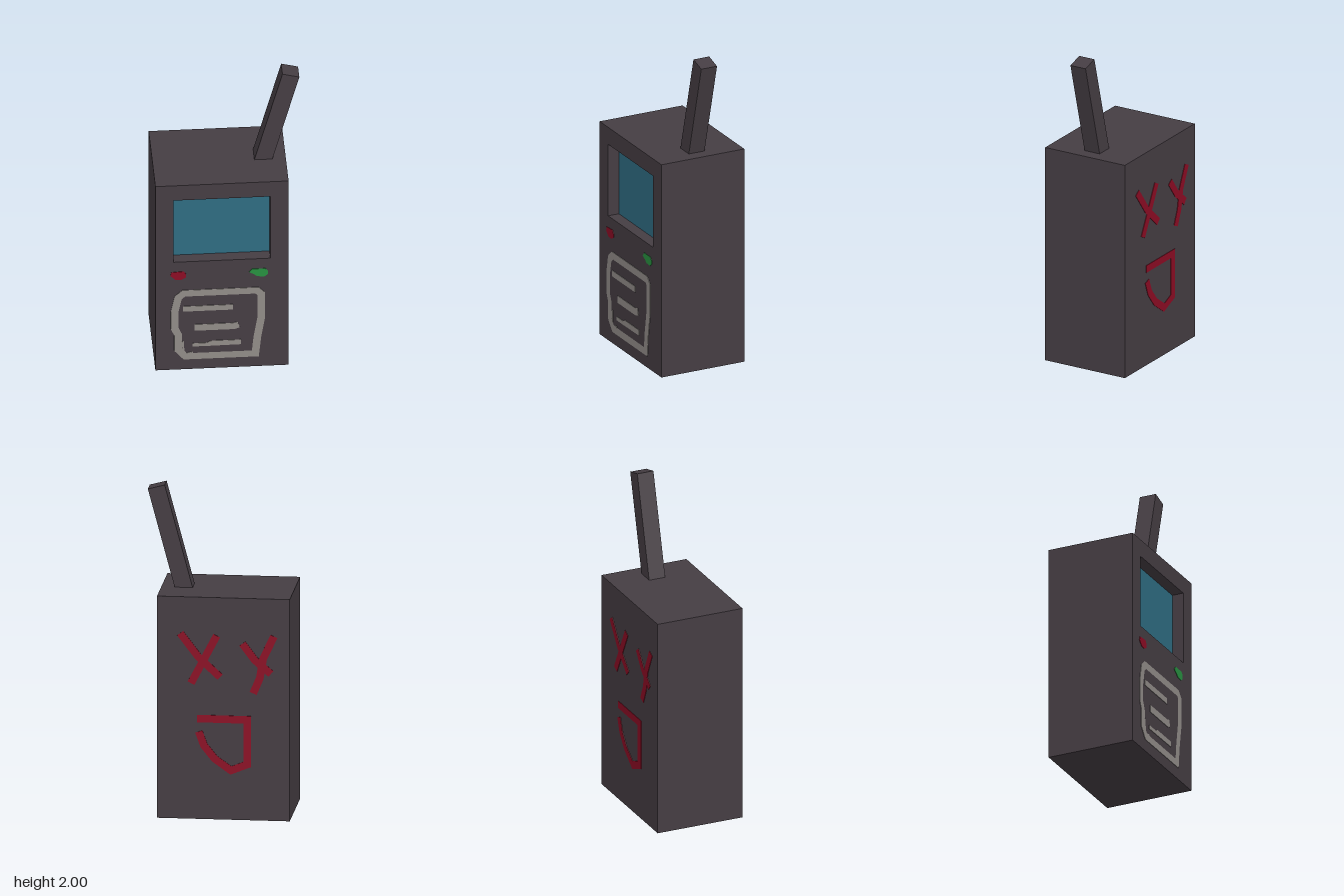
import * as THREE from 'three';

const material = (name, color) => {
  const m = new THREE.MeshStandardMaterial({ color });
  m.name = name;
  return m;
};

const PAINT = 0.003; // thickness of painted details
const FRONT = 0.28, BACK = -0.28, RECESS = 0.205;

const V = ([x, y]) => new THREE.Vector2(x, y);

// Mitred brush stroke of constant width along a polyline
function strokeShape(points, width, closed = false) {
  const p = points.map(V), n = p.length;
  const left = [], right = [];
  const normal = (a, b) => new THREE.Vector2(a.y - b.y, b.x - a.x).normalize();
  for (let i = 0; i < n; i++) {
    const prev = closed || i > 0 ? p[(i + n - 1) % n] : null;
    const next = closed || i < n - 1 ? p[(i + 1) % n] : null;
    const n1 = prev ? normal(prev, p[i]) : normal(p[i], next);
    const n2 = next ? normal(p[i], next) : n1;
    const miter = n1.clone().add(n2).normalize();
    miter.multiplyScalar(width / 2 / Math.max(0.5, miter.dot(n2)));
    left.push(p[i].clone().add(miter));
    right.push(p[i].clone().sub(miter));
  }
  if (!closed) return new THREE.Shape([...left, ...right.reverse()]);
  const outerIsLeft = Math.abs(THREE.ShapeUtils.area(left)) > Math.abs(THREE.ShapeUtils.area(right));
  const shape = new THREE.Shape(outerIsLeft ? left : right);
  shape.holes.push(new THREE.Path(outerIsLeft ? right : left));
  return shape;
}

const rectangle = (x0, y0, x1, y1) => [[x0, y0], [x1, y0], [x1, y1], [x0, y1]].map(V);

export function createModel() {
  const model = new THREE.Group();
  model.name = 'handheldRadio';
  const casing = material('dark casing', 0x453d43);
  const glass = material('screen blue', 0x2f6c82);
  const grey = material('speaker grey', 0x918c88);
  const red = material('paint red', 0x8c0c24);
  const green = material('button green', 0x279040);

  const add = (name, geometry, mat, x = 0, y = 0, z = 0) => {
    const mesh = new THREE.Mesh(geometry, mat);
    mesh.name = name;
    mesh.position.set(x, y, z);
    model.add(mesh);
    return mesh;
  };
  const plate = (name, shape, mat, z, depth = PAINT) =>
    add(name, new THREE.ExtrudeGeometry(shape, { depth, bevelEnabled: false }), mat, 0, 0, z);
  const frontMark = (name, shape, mat) => plate(name, shape, mat, FRONT);
  const backMark = (name, points) =>
    plate(name, strokeShape(points, 0.046), red, BACK - PAINT);

  // Casing: solid rear block plus a front slab with the screen opening
  add('body', new THREE.BoxGeometry(0.8, 1.37, RECESS - BACK), casing, -0.04, 0.685, (RECESS + BACK) / 2);
  const face = new THREE.Shape(rectangle(-0.44, 0, 0.36, 1.37));
  face.holes.push(new THREE.Path(rectangle(-0.33, 0.8, 0.25, 1.26)));
  plate('frontFrame', face, casing, RECESS, FRONT - RECESS);

  // Sunken screen
  add('screen', new THREE.PlaneGeometry(0.58, 0.46), glass, -0.04, 1.03, RECESS + 0.002);

  // Tilted square antenna, its foot sunk in the casing
  const tilt = THREE.MathUtils.degToRad(15), length = 0.68;
  const antenna = add('antenna', new THREE.BoxGeometry(0.105, length, 0.106), casing,
    0.39 - Math.sin(tilt) * length / 2, 1.986 - Math.cos(tilt) * length / 2, 0);
  antenna.rotation.z = -tilt;

  // Painted buttons
  frontMark('redButton', new THREE.Shape([[-0.35, 0.70], [-0.345, 0.725], [-0.27, 0.73], [-0.257, 0.71],
    [-0.257, 0.685], [-0.285, 0.668], [-0.32, 0.67]].map(V)), red);
  frontMark('greenButton', new THREE.Shape([[0.123, 0.705], [0.14, 0.727], [0.22, 0.727], [0.235, 0.71],
    [0.235, 0.685], [0.215, 0.668], [0.17, 0.672], [0.155, 0.685]].map(V)), green);

  // Speaker outline and slots
  frontMark('speakerOutline', strokeShape([[-0.27, 0.566], [0.17, 0.566], [0.195, 0.54], [0.195, 0.36],
    [0.172, 0.22], [0.16, 0.097], [-0.26, 0.097], [-0.304, 0.15], [-0.304, 0.26], [-0.325, 0.31],
    [-0.325, 0.43], [-0.304, 0.535]], 0.046, true), grey);
  frontMark('speakerCorner', new THREE.Shape([[-0.285, 0.2], [-0.27, 0.215], [-0.265, 0.12],
    [-0.215, 0.13], [-0.215, 0.115], [-0.27, 0.115]].map(V)), grey);
  frontMark('speakerSlotTop', strokeShape([[-0.275, 0.45], [0.025, 0.45]], 0.038), grey);
  frontMark('speakerSlotMiddle', strokeShape([[-0.205, 0.308], [0.03, 0.308], [0.06, 0.318]], 0.046), grey);
  frontMark('speakerSlotBottom', new THREE.Shape([[-0.217, 0.168], [-0.12, 0.168], [0.075, 0.17],
    [0.075, 0.205], [-0.11, 0.205], [-0.13, 0.192], [-0.217, 0.192]].map(V)), grey);

  // Face daubed on the back: crossed eyes and an open mouth
  backMark('eyeStrokeA', [[0.22, 1.145], [0.11, 1.0], [-0.02, 0.88]]);
  backMark('eyeStrokeB', [[0, 1.135], [0.06, 1.02], [0.155, 0.838]]);
  backMark('eyeStrokeC', [[-0.155, 1.09], [-0.23, 0.99], [-0.327, 0.908]]);
  backMark('eyeStrokeD', [[-0.345, 1.14], [-0.28, 1.0], [-0.26, 0.88], [-0.22, 0.785]]);
  backMark('mouth', [[0.118, 0.62], [-0.185, 0.62], [-0.185, 0.345], [-0.086, 0.305],
    [0.013, 0.375], [0.077, 0.455], [0.108, 0.54]]);

  return model;
}
